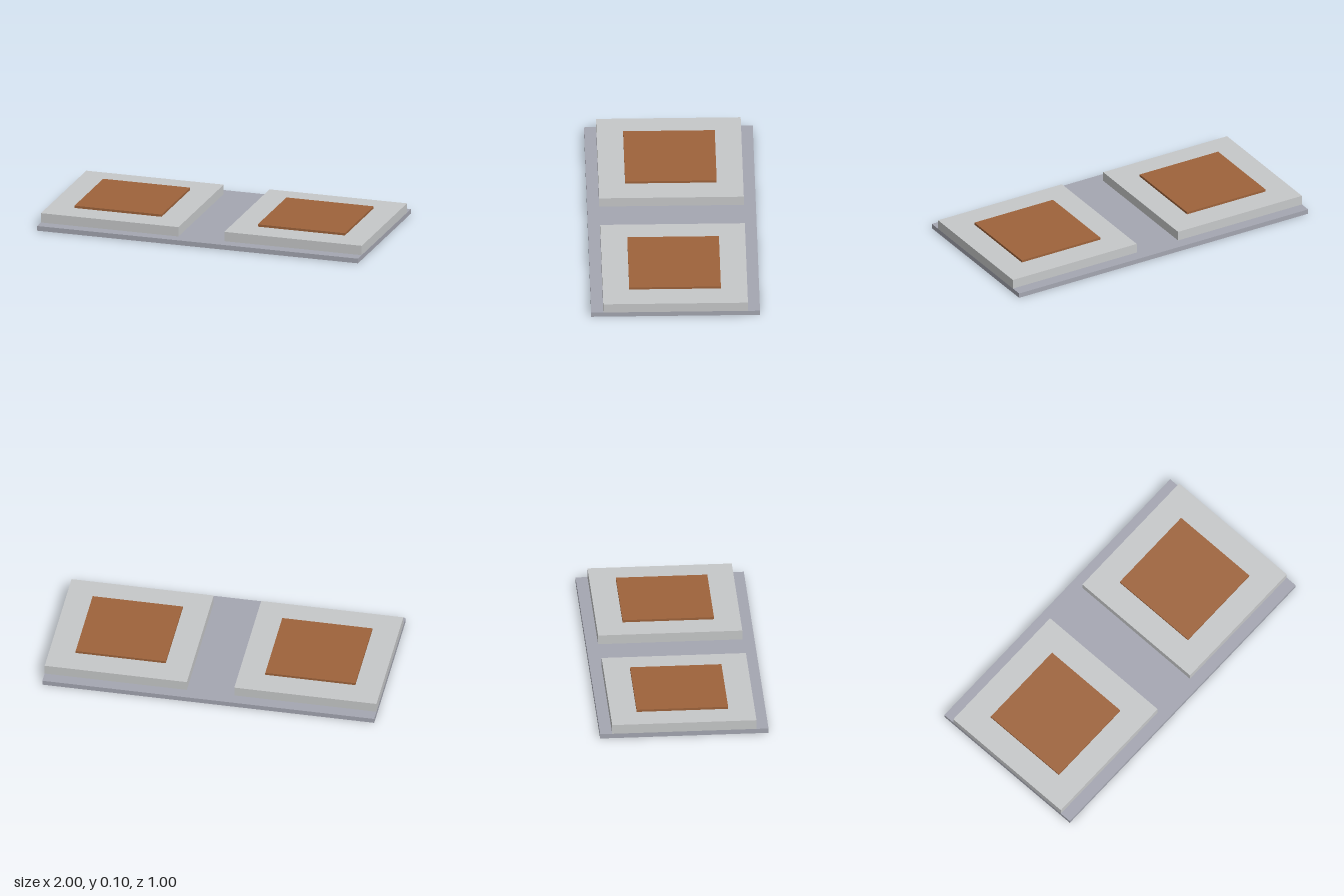
import * as THREE from 'three';

export function createModel() {
  const model = new THREE.Group();
  const flat = (name, color) => {
    const m = new THREE.MeshStandardMaterial({ color });
    m.name = name;
    return m;
  };
  const baseGrey = flat('bluish grey', 0xa4a6b1);
  const slabGrey = flat('light grey', 0xc6c8c9);
  const copper = flat('copper brown', 0x9e633b);

  // Box resting on a given height
  const block = (name, material, [w, h, d], x, bottom) => {
    const mesh = new THREE.Mesh(new THREE.BoxGeometry(w, h, d), material);
    mesh.name = name;
    mesh.position.set(x, bottom + h / 2, 0);
    model.add(mesh);
  };

  // Thin board under everything
  block('basePlate', baseGrey, [2, 0.029, 1], 0, 0);

  // A raised slab with a centred copper pad on each side
  for (const [side, s] of [['left', 1], ['right', -1]]) {
    block(`${side}Slab`, slabGrey, [0.857, 0.058, 0.857], s * 0.5715, 0.029);
    block(`${side}Pad`, copper, [0.543, 0.014, 0.543], s * 0.5715, 0.087);
  }
  return model;
}
